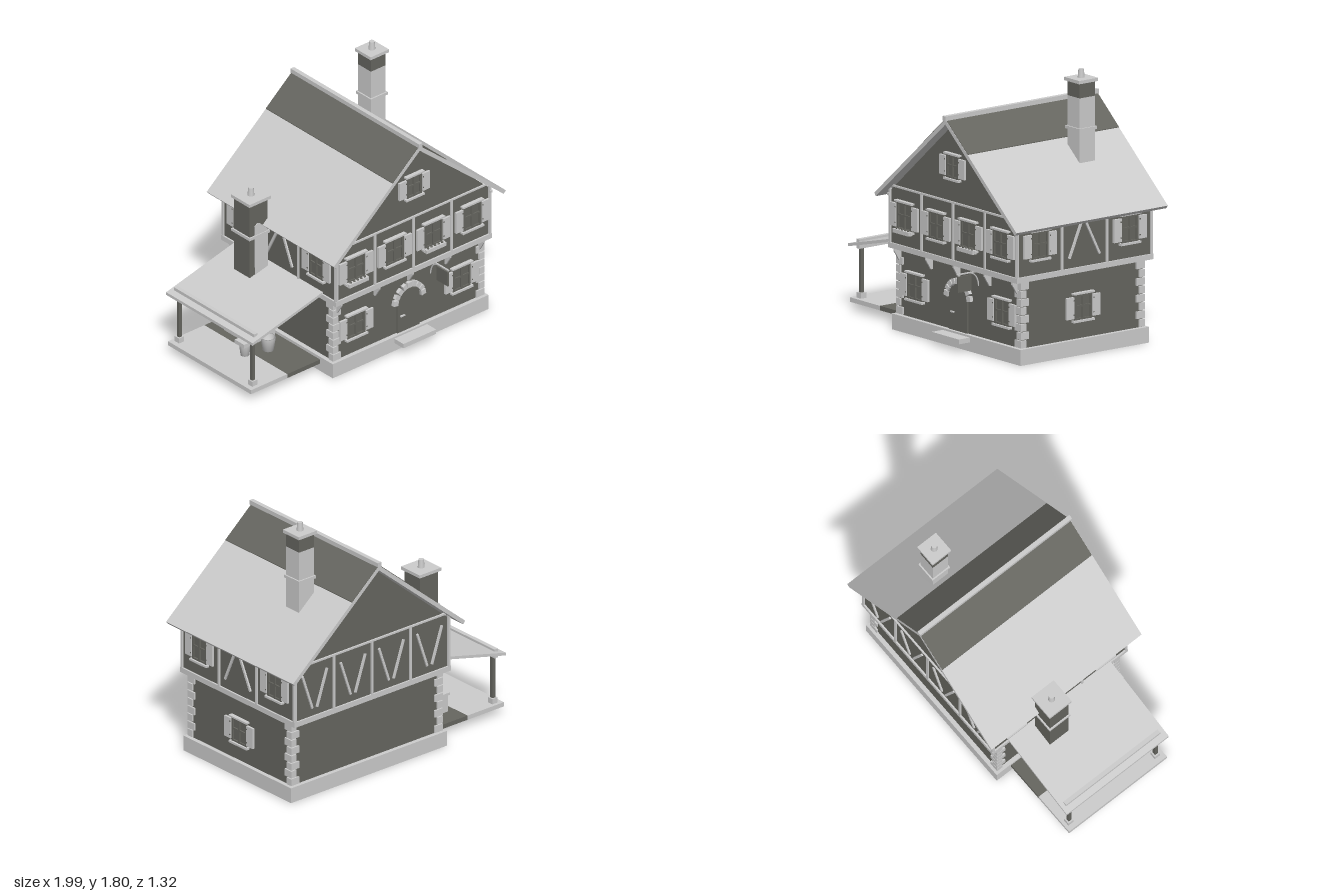
import * as THREE from 'three';

export function createModel() {
  const root = new THREE.Group();
  const light = new THREE.MeshStandardMaterial({ color: 0xcccccc });
  light.name = 'pale grey';
  const dark = new THREE.MeshStandardMaterial({ color: 0x666660 });
  dark.name = 'dark grey';

  const add = (name, geo, mat, parent = root) => {
    const m = new THREE.Mesh(geo, mat);
    m.name = name;
    parent.add(m);
    return m;
  };
  // box from min/max on each axis
  const box = (name, mat, x0, x1, y0, y1, z0, z1, parent = root) => {
    const m = add(name, new THREE.BoxGeometry(x1 - x0, y1 - y0, z1 - z0), mat, parent);
    m.position.set((x0 + x1) / 2, (y0 + y1) / 2, (z0 + z1) / 2);
    return m;
  };
  // outline in x,y extruded from z0 to z1
  const slab = (name, mat, pts, z0, z1, parent = root) => {
    const shape = new THREE.Shape(pts.map(p => new THREE.Vector2(...p)));
    const m = add(name, new THREE.ExtrudeGeometry(shape, { depth: z1 - z0, bevelEnabled: false }), mat, parent);
    m.position.z = z0;
    return m;
  };
  // straight timber between two points on a facade
  const brace = (name, xa, ya, xb, yb, parent) => {
    const m = add(name, new THREE.BoxGeometry(0.016, Math.hypot(xb - xa, yb - ya), 0.014), light, parent);
    m.position.set((xa + xb) / 2, (ya + yb) / 2, 0.004);
    m.rotation.z = Math.atan2(yb - ya, xb - xa) - Math.PI / 2;
  };
  // facade group: local +z points out of the wall
  const facade = (name, x, z, turn) => {
    const g = new THREE.Group();
    g.name = name;
    g.position.set(x, 0, z);
    g.rotation.y = turn;
    root.add(g);
    return g;
  };

  // plinth, ground floor and jettied upper floor with gables
  box('plinth', light, -0.41, 0.92, 0, 0.105, -0.55, 0.51);
  box('groundFloorWalls', dark, -0.38, 0.89, 0.1, 0.56, -0.52, 0.48);
  slab('upperWalls', dark, [[-0.4, 0.56], [0.91, 0.56], [0.91, 0.925], [0.255, 1.485], [-0.4, 0.925]], -0.575, 0.53);
  box('jettyBeam', light, -0.412, 0.922, 0.548, 0.584, -0.587, 0.542);

  // corner stones, alternating long and short
  for (const sx of [-1, 1]) for (const sz of [-1, 1]) for (let i = 0; i < 8; i++) {
    const a = i % 2 ? 0.045 : 0.068, b = i % 2 ? 0.068 : 0.045;
    const s = box('cornerStone', light, -a / 2, a / 2, 0, 0.048, -b / 2, b / 2);
    s.position.set(0.255 + sx * (0.647 - a / 2), 0.133 + i * 0.055, -0.02 + sz * (0.512 - b / 2));
  }

  // roof, dark upper bands and ridge cap
  slab('roof', light, [[-0.48, 0.905], [-0.462, 0.885], [0.255, 1.49], [0.972, 0.885], [0.99, 0.905], [0.255, 1.525]], -0.65, 0.6);
  slab('roofUpperBand', dark, [[0.025, 1.331], [0.255, 1.525], [0.485, 1.331], [0.485, 1.336], [0.255, 1.53], [0.025, 1.336]], -0.649, 0.598);
  box('ridgeCap', light, 0.24, 0.27, 1.515, 1.547, -0.655, 0.61);

  // window with frame, glazing bars, hood, sill and open shutters
  const addWindow = (parent, x, y0, h = 0.18, w = 0.15, flowers = false) => {
    const g = new THREE.Group();
    g.name = 'window';
    g.position.set(x, y0, 0);
    parent.add(g);
    const hw = w / 2;
    box('glass', dark, -hw, hw, 0, h, 0, 0.006, g);
    for (const s of [-1, 0, 1]) {
      const c = s * (hw - 0.007);
      box('frameUpright', dark, c - 0.007, c + 0.007, 0, h, 0.002, 0.016, g);
    }
    for (const y of [0, h * 0.5, h - 0.014]) box('frameRail', dark, -hw, hw, y, y + 0.012, 0.002, 0.015, g);
    box('windowHood', light, -hw - 0.015, hw + 0.015, h, h + 0.012, 0, 0.028, g);
    box('windowSill', light, -hw - 0.015, hw + 0.015, -0.014, 0, 0, 0.028, g);
    if (flowers) {
      box('flowerBox', light, -hw - 0.008, hw + 0.008, -0.022, 0.004, 0.01, 0.045, g);
      for (let i = 0; i < 5; i++) {
        const f = add('flower', new THREE.IcosahedronGeometry(0.009, 0), dark, g);
        f.position.set((i - 2) * 0.03, 0.008, 0.03);
      }
    }
    for (const s of [-1, 1]) {
      const c = s * (hw + 0.036);
      box('shutter', light, c - 0.031, c + 0.031, 0.012, h - 0.014, 0.004, 0.02, g);
      for (const y of [0.035, h - 0.04]) {
        box('shutterHinge', dark, c - s * 0.026 - 0.004, c - s * 0.026 + 0.004, y, y + 0.008, 0.02, 0.023, g);
      }
    }
  };

  // front facade
  const front = facade('frontFacade', 0, 0.53, 0);
  [-0.24, 0.09, 0.42, 0.752].forEach((x, i) => addWindow(front, x, 0.69, 0.18, 0.15, i % 2 === 0));
  addWindow(front, 0.257, 1.125, 0.155, 0.125);
  const frontLow = facade('frontLowerFacade', 0, 0.48, 0);
  for (const x of [-0.195, 0.705]) addWindow(frontLow, x, 0.23, 0.17);

  // side facades
  for (const s of [-1, 1]) {
    const side = facade(s > 0 ? 'leftFacade' : 'rightFacade', s > 0 ? 0.91 : -0.4, 0, s * Math.PI / 2);
    const u = z => -s * z;
    for (const z of [0.35, -0.39]) addWindow(side, u(z), 0.69, 0.18, 0.135);
    for (const z of [0.53, 0.165, -0.205, -0.575]) box('sidePost', light, u(z) - 0.008, u(z) + 0.008, 0.57, 0.93, -0.008, 0.011, side);
    box('sidePlate', light, -0.55, 0.55, 0.895, 0.912, -0.008, 0.011, side);
    brace('sideBrace', u(0.0), 0.89, u(0.105), 0.65, side);
    brace('sideBrace', u(-0.025), 0.89, u(-0.145), 0.65, side);
  }
  addWindow(facade('leftLowerFacade', 0.89, 0, Math.PI / 2), 0.02, 0.23, 0.17, 0.145);

  // front and back posts, top plates, back braces
  const back = facade('backFacade', 0.255, -0.575, Math.PI);
  for (let i = 0; i < 5; i++) {
    const x = -0.398 + i * 0.3265;
    box('frontPost', light, x - 0.008, x + 0.008, 0.57, 0.965, 0.525, 0.541);
    box('backPost', light, x - 0.008, x + 0.008, 0.57, 0.965, -0.587, -0.57);
    if (i < 4) for (const s of [-1, 1]) {
      const c = (i - 1.5) * 0.3265;
      brace('backBrace', c + s * 0.105, 0.89, c + s * 0.02, 0.64, back);
    }
  }
  box('frontTopPlate', light, -0.4, 0.91, 0.958, 0.97, 0.525, 0.541);
  box('backTopPlate', light, -0.4, 0.91, 0.958, 0.97, -0.587, -0.57);
  for (const x of [-0.355, -0.03, 0.255, 0.575, 0.86]) {
    const b = slab('jettyBracket', light, [[0, 0.55], [0, 0.465], [0.015, 0.465], [0.055, 0.53], [0.055, 0.55]], -0.006, 0.006);
    b.rotation.y = -Math.PI / 2;
    b.position.set(x + 0.006, 0, 0.48);
  }

  // door with a stone arch and a step
  const doorShape = new THREE.Shape();
  doorShape.moveTo(-0.093, 0);
  doorShape.lineTo(0.093, 0);
  doorShape.lineTo(0.093, 0.27);
  doorShape.quadraticCurveTo(0, 0.33, -0.093, 0.27);
  const door = add('door', new THREE.ExtrudeGeometry(doorShape, { depth: 0.012, bevelEnabled: false }), dark);
  door.position.set(0.252, 0.105, 0.479);
  box('doorHandle', light, 0.18, 0.215, 0.222, 0.23, 0.49, 0.503);
  for (let i = 0; i < 9; i++) {
    const a = Math.PI * (i + 0.5) / 9;
    const big = i % 2 ? 0.03 : 0.036;
    const s = add('archStone', new THREE.BoxGeometry(big, 0.038, 0.03), light);
    s.position.set(0.255 + Math.cos(a) * 0.118, 0.32 + Math.sin(a) * 0.118, 0.49);
    s.rotation.z = a - Math.PI / 2;
  }
  box('doorStep', light, 0.115, 0.395, 0.06, 0.092, 0.5, 0.6);

  // hanging sign
  box('signBoard', dark, 0.445, 0.455, 0.42, 0.525, 0.545, 0.655);
  box('signArm', light, 0.445, 0.455, 0.535, 0.543, 0.48, 0.66);
  const curve = new THREE.QuadraticBezierCurve3(
    new THREE.Vector3(0.45, 0.44, 0.48), new THREE.Vector3(0.45, 0.53, 0.49), new THREE.Vector3(0.45, 0.538, 0.56));
  add('signBracket', new THREE.TubeGeometry(curve, 8, 0.005, 6), light);

  // chimneys: shaft, dark part, collar, cap and pot
  const chimney = (name, x, z, w, y0, yDark, yCap, yCollar, mat) => {
    const g = new THREE.Group();
    g.name = name;
    g.position.set(x, 0, z);
    root.add(g);
    const block = (n, m, r, a, b) => box(n, m, -r, r, a, b, -r, r, g);
    block('chimneyShaft', mat, w, y0, yDark);
    block('chimneyTop', dark, w, yDark, yCap);
    block('chimneyCollar', mat === dark ? light : mat, w + 0.01, yCollar, yCollar + 0.02);
    block('chimneyCap', light, w + 0.015, yCap, yCap + 0.022);
    const pot = add('chimneyPot', new THREE.CylinderGeometry(0.018, 0.023, 0.058, 12), light, g);
    pot.position.y = yCap + 0.05;
  };
  chimney('tallChimney', 0.588, -0.255, 0.063, 1.15, 1.62, 1.718, 1.4, light);
  chimney('ovenChimney', -0.513, -0.177, 0.077, 0.41, 0.95, 1.087, 0.832, dark);
  slab('chimneyPalePatch', light, [[-0.545, 0.415], [-0.437, 0.415], [-0.437, 0.86], [-0.5, 0.925], [-0.525, 0.938], [-0.55, 0.92]], -0.1, -0.096);
  box('chimneyHood', light, -0.632, -0.475, 0.352, 0.415, -0.26, -0.095);

  // lean-to: floor, roof, beam and posts
  box('leanToFloor', light, -1, -0.69, 0.055, 0.085, -0.43, 0.385);
  box('leanToDarkFloor', dark, -0.69, -0.405, 0.055, 0.085, -0.43, 0.385);
  slab('leanToRoof', light, [[-1, 0.425], [-0.4, 0.575], [-0.4, 0.595], [-1, 0.445]], -0.45, 0.4);
  box('leanToBeam', light, -0.957, -0.928, 0.415, 0.478, -0.42, 0.365);
  for (const z of [-0.385, 0.335]) {
    box('leanToPost', dark, -0.955, -0.931, 0.12, 0.43, z - 0.012, z + 0.012);
    box('postBase', light, -0.965, -0.921, 0.084, 0.122, z - 0.022, z + 0.022);
  }

  // oven with raised hot plate
  box('oven', light, -0.635, -0.425, 0.084, 0.205, -0.3, -0.04);
  box('ovenTop', light, -0.642, -0.418, 0.205, 0.222, -0.31, -0.03);
  box('hotPlate', light, -0.6, -0.47, 0.222, 0.232, -0.24, -0.1);

  // pots
  const tub = (x, z, r, h) => {
    const prof = [[0, 0], [r * 0.72, 0], [r, h], [r * 0.88, h], [r * 0.7, h * 0.3], [0, h * 0.3]];
    const m = add('tub', new THREE.LatheGeometry(prof.map(p => new THREE.Vector2(...p)), 16), light);
    m.position.set(x, 0.085, z);
  };
  tub(-0.735, 0.02, 0.04, 0.09);
  box('tubLid', light, -0.782, -0.69, 0.168, 0.196, -0.026, 0.066);
  tub(-0.58, 0.07, 0.05, 0.095);

  return root;
}
